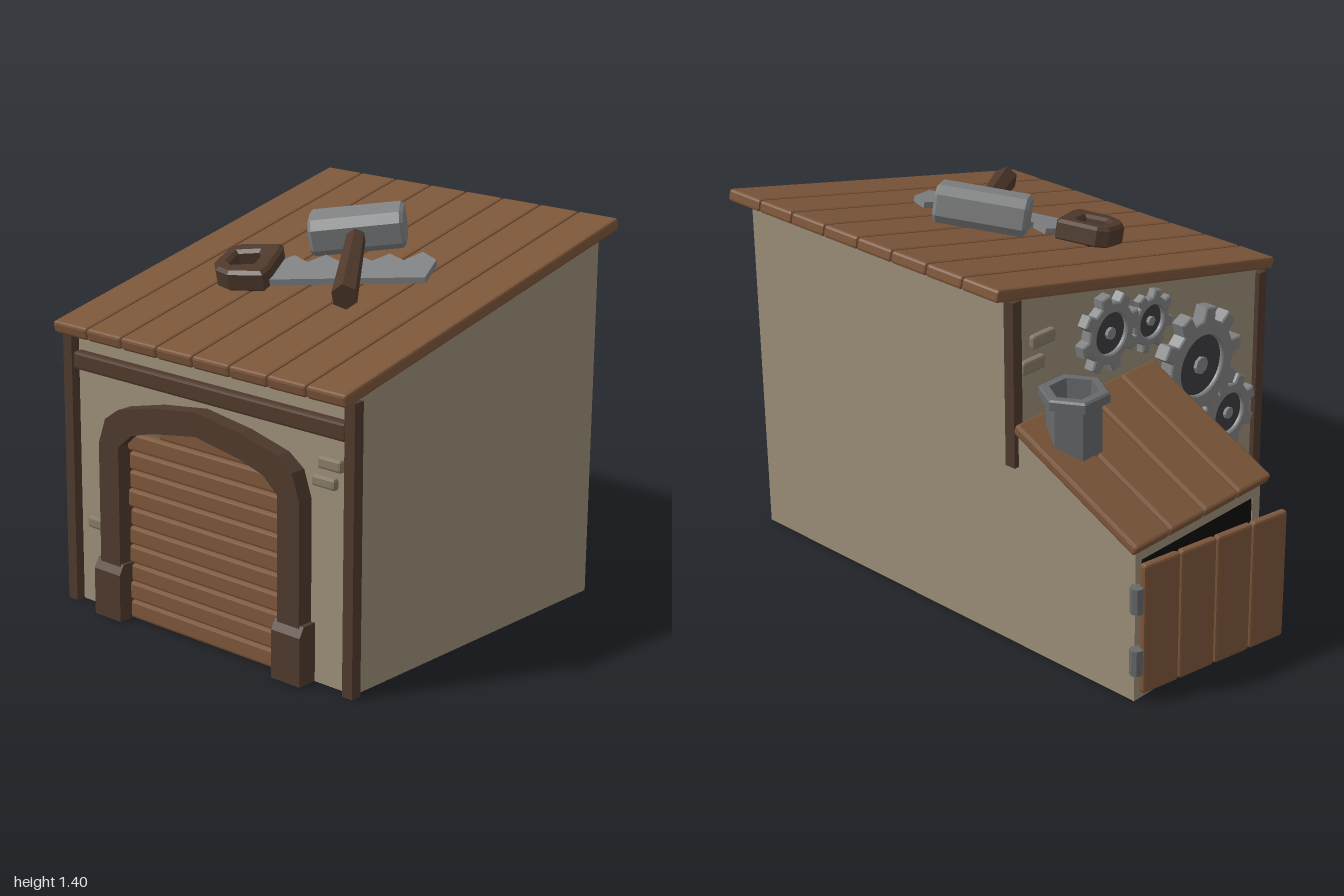
import * as THREE from 'three';
import { RoundedBoxGeometry } from 'three/addons/geometries/RoundedBoxGeometry.js';

const mat = (color, side = THREE.FrontSide) =>
  new THREE.MeshStandardMaterial({ color, side, flatShading: true });
const WALL = mat(0x9b8c78, THREE.DoubleSide), WOOD = mat(0x7b5539), DARKWOOD = mat(0x4e392c);
const STEEL = mat(0x808182), DARKSTEEL = mat(0x3c3d40), PIPE = mat(0x66686a, THREE.DoubleSide);
const BRICK = mat(0x857a66), GLASS = mat(0x5c6472), BLACK = mat(0x0c0c0c, THREE.DoubleSide);

function add(parent, name, geometry, material, x = 0, y = 0, z = 0) {
  const mesh = new THREE.Mesh(geometry, material);
  mesh.name = name;
  mesh.position.set(x, y, z);
  parent.add(mesh);
  return mesh;
}
function group(parent, name, x = 0, y = 0, z = 0) {
  const g = new THREE.Group();
  g.name = name;
  g.position.set(x, y, z);
  parent.add(g);
  return g;
}
const board = (w, h, d, r = 0.01) => new RoundedBoxGeometry(w, h, d, 1, r);
const points = (list) => list.map(([x, y]) => new THREE.Vector2(x, y));
function outline(list, hole) {
  const shape = new THREE.Shape(points(list));
  if (hole) shape.holes.push(new THREE.Path(points(hole)));
  return shape;
}
const extrude = (shape, depth, bevel = 0) => new THREE.ExtrudeGeometry(shape, {
  depth, bevelEnabled: bevel > 0, bevelSize: bevel, bevelThickness: bevel,
  bevelOffset: -bevel, bevelSegments: 1, curveSegments: 24,
});

// Roof underside height at depth z
const eave = (z) => 1.15 - 0.229 * z;
const L = -0.32, R = 0.97, F = 0.63, B = -0.64, LEAN = -0.86;

function buildWalls(root) {
  const walls = group(root, 'walls');
  const panel = (name, list, hole, z) =>
    add(walls, name, new THREE.ShapeGeometry(outline(list, hole)), WALL, 0, 0, z);
  const sidePanel = (name, list, hole, x) => {
    const m = add(walls, name, new THREE.ShapeGeometry(outline(list, hole)), WALL, x);
    m.rotation.y = -Math.PI / 2; // shape x runs along z
  };
  panel('frontWall', [[L, 0], [-0.06, 0], [-0.06, 0.63], [0.01, 0.7], [0.32, 0.76], [0.63, 0.7],
    [0.7, 0.63], [0.7, 0], [R, 0], [R, eave(F)], [L, eave(F)]], null, F);
  panel('backWall', [[LEAN, 0], [R, 0], [R, eave(B)], [L, eave(B)], [L, 0.83], [LEAN, 0.57]], null, B);
  const side = [[B, 0], [F, 0], [F, eave(F)], [B, eave(B)]];
  sidePanel('leftWall', side, null, R);
  sidePanel('rightWall', side, null, L);
  // Lean-to shed with an open doorway
  panel('shedFrontWall', [[LEAN, 0], [L, 0], [L, 0.83], [LEAN, 0.57]], null, 0);
  sidePanel('shedSideWall', [[B, 0], [0, 0], [0, 0.57], [B, 0.57]],
    [[-0.61, 0.04], [-0.61, 0.53], [-0.04, 0.53], [-0.04, 0.04]], LEAN);
  add(walls, 'shedDoorway', new THREE.PlaneGeometry(0.6, 0.52), BLACK, LEAN + 0.015, 0.285, -0.325)
    .rotation.y = Math.PI / 2;

  // Bricks: x, y, width, height, z
  for (const [x, y, w, h, z] of [
    [0.87, 0.765, 0.1, 0.045, F], [0.845, 0.7, 0.1, 0.042, F], [-0.21, 0.305, 0.085, 0.045, F],
    [-0.445, 0.575, 0.1, 0.055, 0], [-0.7, 0.165, 0.1, 0.05, 0], [-0.76, 0.1, 0.14, 0.055, 0],
  ]) add(walls, 'brick', board(w, h, 0.04), BRICK, x, y, z);
  add(walls, 'sideBrick', board(0.04, 0.05, 0.11), BRICK, L, 1.12, -0.51);
  add(walls, 'sideBrick', board(0.04, 0.05, 0.11), BRICK, L, 1.04, -0.56);
}

function buildFrame(root) {
  const frame = group(root, 'timberFrame');
  for (const x of [-0.318, 0.97])
    add(frame, 'frontPost', new THREE.BoxGeometry(0.042, 0.995, 0.042), DARKWOOD, x, 0.4975, 0.644);
  add(frame, 'backPost', new THREE.BoxGeometry(0.042, 0.6, 0.04), DARKWOOD, -0.318, 0.995, -0.64);
  add(frame, 'crossBeam', board(1.24, 0.065, 0.05), DARKWOOD, 0.325, 0.888, 0.637);
}

function buildGate(root) {
  const gate = group(root, 'gate', 0.32, 0, 0);
  // Arch as one closed outline, mirrored left to right
  const outer = [[-0.463, 0], [-0.463, 0.627], [-0.43, 0.72], [-0.365, 0.765], [-0.2, 0.805]];
  const inner = [[-0.2, 0.715], [-0.305, 0.685], [-0.368, 0.63], [-0.368, 0]];
  const flip = (list) => list.map(([x, y]) => [-x, y]).reverse();
  const arch = [...outer, [0, 0.832], ...flip(outer), ...flip(inner), [0, 0.748], ...inner];
  add(gate, 'arch', extrude(outline(arch), 0.07), DARKWOOD, 0, 0, 0.62);
  // Footings with a sloped shoulder
  const foot = [[0.62, 0], [0.705, 0], [0.705, 0.17], [0.685, 0.205], [0.62, 0.205]];
  for (const s of [-1, 1]) {
    const m = add(gate, 'archFooting', extrude(outline(foot), 0.125), DARKWOOD, s * 0.418 + 0.0625, 0, 0);
    m.rotation.y = -Math.PI / 2;
  }
  // Horizontal slats, each a little different in width
  for (let i = 0; i < 11; i++) {
    const w = i === 10 ? 0.42 : 0.715 + 0.012 * Math.sin(i * 2.3);
    add(gate, 'slat', board(w, 0.066, 0.035), WOOD, 0, 0.035 + i * 0.068, 0.635);
  }
}

function buildShed(root) {
  const shed = group(root, 'shed');
  // Sloping roof boards
  const roof = group(shed, 'shedRoof', -0.605, 0.712, 0);
  roof.rotation.z = Math.atan2(0.26, 0.53);
  for (let i = 0; i < 4; i++)
    add(roof, 'shedRoofBoard', board(0.6, 0.04, 0.171), WOOD, 0, 0, -0.574 + i * 0.174);
  // Round window
  const ring = new THREE.Shape().absarc(0, 0, 0.145, 0, Math.PI * 2);
  ring.holes.push(new THREE.Path().absarc(0, 0, 0.105, 0, Math.PI * 2));
  add(shed, 'windowFrame', extrude(ring, 0.035), DARKWOOD, -0.605, 0.39, -0.005);
  add(shed, 'windowGlass', new THREE.CircleGeometry(0.11, 24), GLASS, -0.605, 0.39, 0.01);
  // Hollow six-sided chimney
  const profile = points([[0.06, 0.55], [0.096, 0.55], [0.096, 0.935], [0.122, 0.945], [0.122, 0.975],
    [0.115, 0.982], [0.085, 0.982], [0.075, 0.85], [0, 0.85]]);
  add(shed, 'chimney', new THREE.LatheGeometry(profile, 6), PIPE, -0.47, 0, -0.51);
  // Door swung open on its hinges
  const door = group(shed, 'shedDoor', -0.882, 0.285, -0.635);
  door.rotation.y = -0.175;
  for (let i = 0; i < 4; i++)
    add(door, 'doorPlank', board(0.03, 0.49, 0.152), WOOD, 0, 0, 0.077 + i * 0.155);
  for (const y of [0.165, 0.4])
    add(shed, 'hinge', new THREE.CylinderGeometry(0.024, 0.024, 0.095, 8), PIPE, -0.872, y, -0.645);
}

function buildGears(root) {
  const gears = group(root, 'gears');
  const gear = (z, y, r, teeth, depth, turn) => {
    const g = group(gears, 'gear', -0.31, y, z);
    g.rotation.y = -Math.PI / 2; // faces outward along -x
    const rim = [];
    for (let i = 0; i < teeth; i++)
      for (const [t, k] of [[-0.3, 0.78], [-0.19, 1], [0.19, 1], [0.3, 0.78]]) {
        const a = (i + t) * 2 * Math.PI / teeth + turn;
        rim.push([Math.cos(a) * r * k, Math.sin(a) * r * k]);
      }
    const shape = outline(rim);
    shape.holes.push(new THREE.Path().absarc(0, 0, r * 0.52, 0, Math.PI * 2));
    add(g, 'gearRim', extrude(shape, depth, 0.005), STEEL);
    const disc = add(g, 'gearDisc', new THREE.CylinderGeometry(r * 0.54, r * 0.54, 0.02, 20), DARKSTEEL, 0, 0, depth - 0.02);
    const hub = add(g, 'gearHub', new THREE.CylinderGeometry(r * 0.15, r * 0.15, 0.03, 8), STEEL, 0, 0, depth - 0.012);
    disc.rotation.x = hub.rotation.x = Math.PI / 2;
  };
  gear(-0.2, 1.04, 0.145, 8, 0.045, 0.2);
  gear(0.02, 1.01, 0.115, 8, 0.035, 0.5);
  gear(0.27, 0.76, 0.22, 10, 0.058, 0.1);
  gear(0.45, 0.5, 0.15, 8, 0.045, 0.3);
  gear(0.24, 0.29, 0.19, 9, 0.055, 0.15);
}

function buildRoof(root) {
  // Everything here lies in the plane of the sloping roof
  const roof = group(root, 'roof', 0, 1.195, 0);
  roof.rotation.x = Math.atan(0.229);
  for (let i = 0; i < 8; i++)
    add(roof, 'roofBoard', board(0.164, 0.045, 1.475), WOOD, -0.252 + i * 0.1663, -0.0225, 0);

  // Saw lying flat
  const saw = group(roof, 'saw', 0.2, 0.005, 0.21);
  saw.rotation.set(-Math.PI / 2, 0, 0.43);
  const blade = [[-0.03, 0.02], [0, 0], [0.56, 0], [0.565, 0.14], [0.5, 0.21]];
  for (let i = 0; i < 4; i++) blade.push([0.45 - i * 0.115, 0.142], [0.385 - i * 0.115, 0.2]);
  blade.push([-0.01, 0.15], [-0.03, 0.15]);
  add(saw, 'sawBlade', extrude(outline(blade), 0.022), STEEL);
  const grip = [[-0.21, 0.07], [-0.185, 0.01], [-0.13, -0.03], [0, -0.04], [0.012, 0.02],
    [0.012, 0.17], [0, 0.21], [-0.15, 0.215], [-0.19, 0.19]];
  const gripHole = [[-0.155, 0.07], [-0.145, 0.145], [-0.07, 0.15], [-0.055, 0.13], [-0.06, 0.045], [-0.13, 0.04]];
  add(saw, 'sawHandle', extrude(outline(grip, gripHole), 0.055, 0.012), DARKWOOD);

  // Hammer with a bevelled head resting on the saw
  const hammer = group(roof, 'hammer', 0.295, 0.075, -0.175);
  hammer.rotation.y = 0.62;
  const c = 0.03, w = 0.08, h = 0.068;
  const section = [[-w + c, -h], [w - c, -h], [w, -h + c], [w, h - c], [w - c, h], [-w + c, h], [-w, h - c], [-w, -h + c]];
  const head = add(hammer, 'hammerHead', extrude(outline(section), 0.31, 0.012), STEEL, -0.155, 0, 0);
  head.rotation.y = Math.PI / 2;
  const handle = add(hammer, 'hammerHandle', new THREE.CylinderGeometry(0.046, 0.034, 0.53, 6), DARKWOOD, 0, 0, 0.305);
  handle.rotation.x = Math.PI / 2;
}

export function createModel() {
  const root = new THREE.Group();
  root.name = 'workshop';
  for (const build of [buildWalls, buildFrame, buildGate, buildShed, buildGears, buildRoof]) build(root);
  return root;
}
